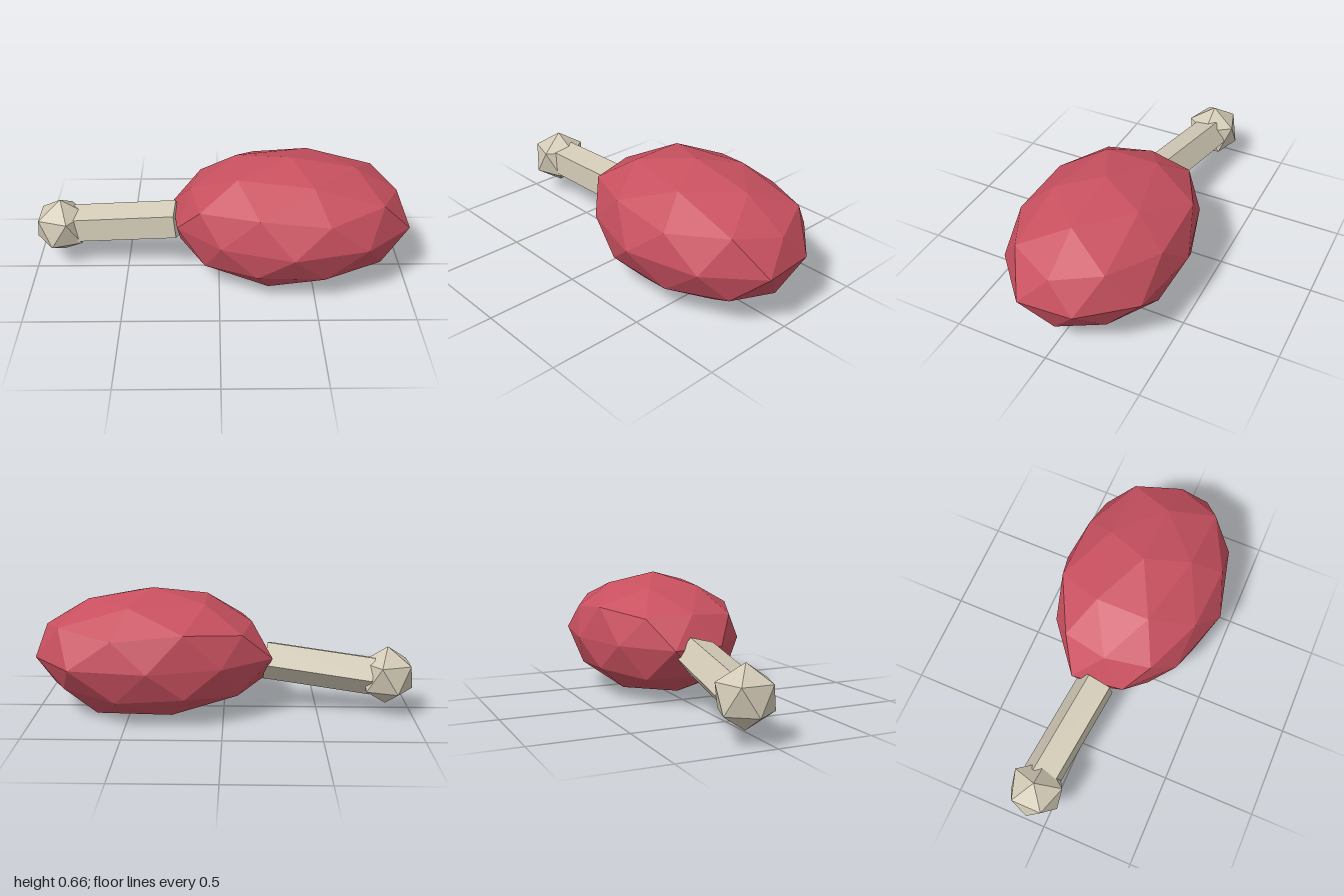
import * as THREE from 'three';

const meatMaterial = new THREE.MeshStandardMaterial({ color: 0xc8505f, flatShading: true });
meatMaterial.name = 'meatRed';
const boneMaterial = new THREE.MeshStandardMaterial({ color: 0xd2cab6, flatShading: true });
boneMaterial.name = 'boneCream';

// Slightly uneven ellipsoid: a 42-point icosphere made of rings from pole to pole.
function meatGeometry() {
  const positions = [];
  const index = [];
  // elevation height(s), start angle in degrees, radial unevenness per point
  const rings = [
    { y: [1], start: 0, f: [1.035] },
    { y: [0.851], start: 0, f: [1, 1, 1.01, 1.01, 1] },
    { y: [0.447, 0.526], start: 0, f: [0.98, 1.04, 1, 1, 1, 0.94, 1, 1.05, 1, 1.04] },
    { y: [0], start: 18, f: [1.016, 1, 1.015, 0.95, 0.958, 1.015, 0.955, 0.983, 1.045, 0.985] },
    { y: [-0.526, -0.447], start: 0, f: [0.99, 1, 0.99, 1, 1, 1, 1, 1, 1, 0.96] },
    { y: [-0.851], start: 36, f: [1, 1.06, 0.98, 1, 1.07] },
    { y: [-1], start: 0, f: [0.96] },
  ];
  const first = [];
  for (const { y, start, f } of rings) {
    first.push(positions.length / 3);
    f.forEach((k, i) => {
      const h = y[i % y.length];
      const r = Math.sqrt(Math.max(0, 1 - h * h)) * k;
      const a = THREE.MathUtils.degToRad(start + (360 / f.length) * i);
      positions.push(0.372 + 0.65 * r * Math.cos(a), 0.32 + 0.333 * h * k, -0.012 + 0.455 * r * Math.sin(a));
    });
  }
  const id = (ring, i) => {
    const n = rings[ring].f.length;
    return first[ring] + ((i % n) + n) % n;
  };
  const face = (a, b, c) => index.push(a, c, b);

  // Caps
  for (let k = 0; k < 5; k++) {
    const u = 2 * k;
    face(id(0, 0), id(1, k), id(1, k + 1));
    face(id(1, k), id(2, u - 1), id(2, u));
    face(id(1, k), id(2, u), id(2, u + 1));
    face(id(1, k), id(2, u + 1), id(1, k + 1));
    face(id(6, 0), id(5, k + 1), id(5, k));
    face(id(5, k), id(4, u + 1), id(4, u));
    face(id(5, k), id(4, u + 2), id(4, u + 1));
    face(id(5, k), id(5, k + 1), id(4, u + 2));
  }
  // Belts above and below the equator
  for (let j = 0; j < 10; j++) {
    face(id(2, j), id(3, j - 1), id(3, j));
    face(id(2, j), id(3, j), id(2, j + 1));
    face(id(4, j), id(3, j), id(3, j - 1));
    face(id(4, j), id(4, j + 1), id(3, j));
  }
  const geometry = new THREE.BufferGeometry();
  geometry.setAttribute('position', new THREE.Float32BufferAttribute(positions, 3));
  geometry.setIndex(index);
  const flat = geometry.toNonIndexed();
  flat.computeVertexNormals();
  return flat;
}

export function createModel() {
  const model = new THREE.Group();
  model.name = 'meatOnBone';

  const meat = new THREE.Mesh(meatGeometry(), meatMaterial);
  meat.name = 'meat';
  model.add(meat);

  // Five-sided shaft leaning up and toward the front as it meets the meat
  const from = new THREE.Vector3(-0.785, 0.218, -0.09);
  const to = new THREE.Vector3(-0.225, 0.282, -0.022);
  const axis = to.clone().sub(from);
  const shaftGeometry = new THREE.CylinderGeometry(0.108, 0.108, axis.length(), 5, 1, false, THREE.MathUtils.degToRad(-40));
  shaftGeometry.rotateZ(-Math.PI / 2);
  const shaft = new THREE.Mesh(shaftGeometry, boneMaterial);
  shaft.name = 'boneShaft';
  shaft.position.copy(from).add(to).multiplyScalar(0.5);
  shaft.quaternion.setFromUnitVectors(new THREE.Vector3(1, 0, 0), axis.normalize());
  model.add(shaft);

  // Faceted knob standing on one of its corners
  const knobGeometry = new THREE.IcosahedronGeometry(0.156, 0);
  knobGeometry.rotateZ(-Math.atan(2 / (1 + Math.sqrt(5))));
  const knob = new THREE.Mesh(knobGeometry, boneMaterial);
  knob.name = 'boneKnob';
  knob.position.set(-0.86, 0.215, -0.09);
  model.add(knob);

  return model;
}
